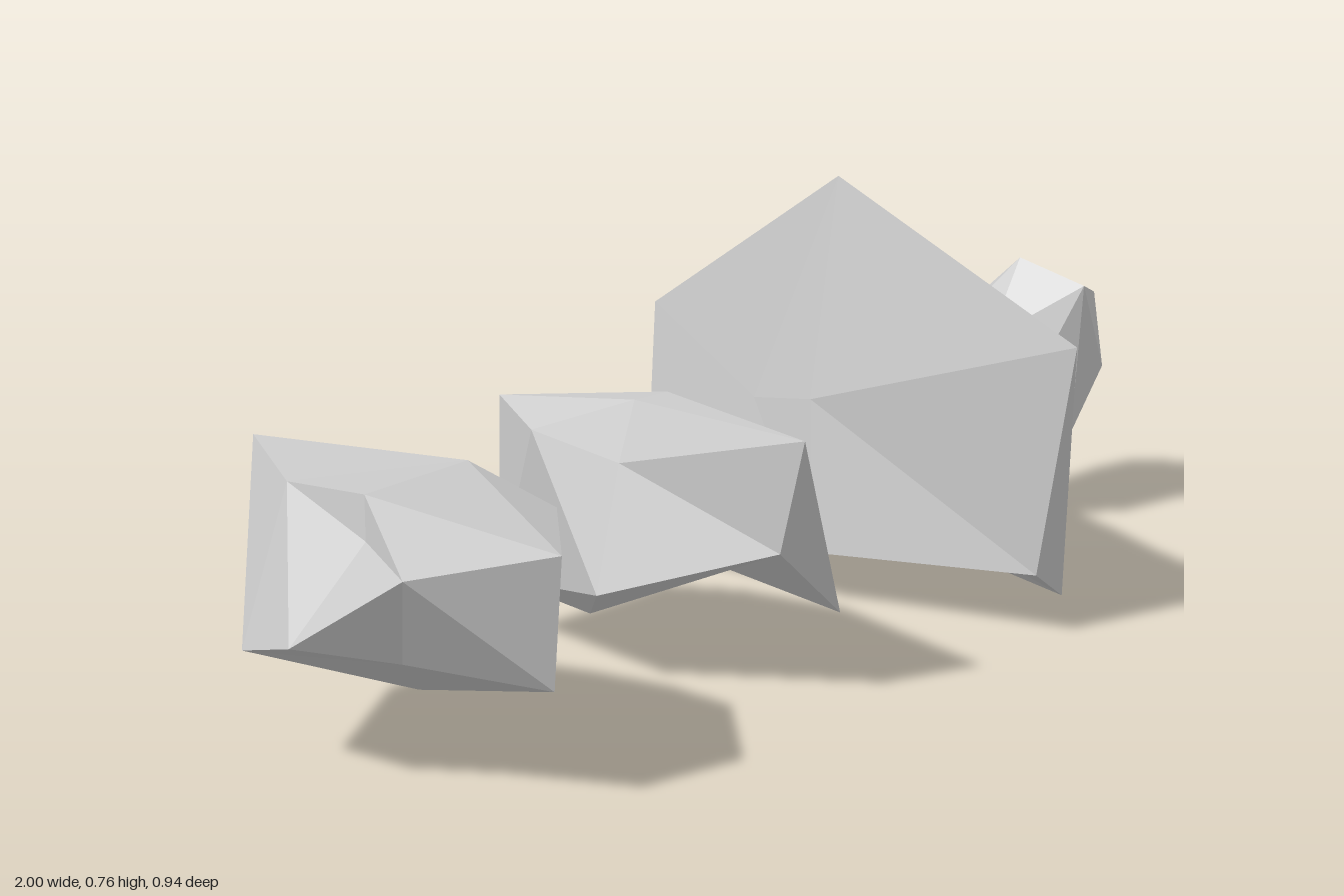
import * as THREE from 'three';
import { ConvexGeometry } from 'three/addons/geometries/ConvexGeometry.js';

// Each rock: a centre, half extents, and its corner points [x, y, z].
const ROCKS = {
  broadRock: {
    centre: [-0.8, 0.32, -0.03], size: [0.19, 0.17, 0.33],
    corners: [
      [-0.89, 0.48, -0.01], [-0.67, 0.48, -0.01], [-0.9, 0.47, -0.17], [-0.67, 0.44, -0.15], // top
      [-0.78, 0.42, 0.29], [-0.62, 0.42, 0.13], [-0.97, 0.4, 0.15], [-0.78, 0.475, -0.38],
      [-0.9, 0.41, 0.0], [-0.67, 0.38, -0.01], // hollows in the sides
      [-1.0, 0.25, -0.07], [-0.98, 0.21, -0.2], [-0.9, 0.23, 0.07],
      [-0.78, 0.2, 0.27], [-0.67, 0.2, 0.1], [-0.67, 0.21, -0.02], [-0.67, 0.21, -0.17],
      [-0.78, 0.13, -0.02], [-0.78, 0.24, -0.33], // base
    ],
  },
  splitRock: {
    centre: [-0.24, 0.3, -0.02], size: [0.13, 0.18, 0.33],
    corners: [
      [-0.26, 0.48, -0.03], [-0.19, 0.48, -0.02], [-0.3, 0.38, -0.03], // top
      [-0.26, 0.48, 0.33], [-0.26, 0.28, 0.28], [-0.09, 0.13, 0.27],
      [-0.26, 0.43, -0.34], [-0.35, 0.42, -0.18], [-0.15, 0.38, -0.2],
      [-0.14, 0.19, -0.1], [-0.13, 0.22, 0.02], [-0.37, 0.17, -0.02],
      [-0.3, 0.1, -0.1], [-0.29, 0.11, -0.32], [-0.19, 0.2, 0.08], // base
    ],
  },
  tallRock: {
    centre: [0.28, 0.3, -0.03], size: [0.1, 0.35, 0.45],
    corners: [
      [0.29, 0.76, -0.04], [0.35, 0.54, -0.04], [0.29, 0.54, 0.47], [0.29, 0.46, -0.47], // top
      [0.315, 0.475, 0.15], [0.37, 0.43, -0.27], [0.34, 0.28, -0.2], [0.41, 0.22, 0.03],
      [0.335, 0.15, -0.12], [0.385, 0.055, 0.39], [0.29, 0.12, 0.4],
      [0.215, 0.37, -0.04], [0.24, 0.34, -0.19], [0.18, 0.1, -0.01],
      [0.33, 0.125, 0.24], [0.29, 0.1, -0.04], [0.22, 0.0, -0.44], // base
    ],
  },
  smallRock: {
    centre: [0.84, 0.29, -0.01], size: [0.13, 0.21, 0.12],
    corners: [
      [0.835, 0.51, -0.03], [0.9, 0.475, -0.03], [0.83, 0.48, 0.12], [1.0, 0.42, 0.03], // top
      [0.83, 0.42, -0.125], [0.94, 0.4, -0.095], [0.77, 0.4, -0.11], [0.74, 0.37, -0.03],
      [0.93, 0.3, 0.1], [0.96, 0.25, 0.0], [0.94, 0.28, -0.09], [0.76, 0.3, 0.06],
      [0.83, 0.19, 0.1], [0.73, 0.18, 0.0],
      [0.77, 0.097, -0.115], [0.8, 0.09, -0.04], // base
    ],
  },
};

// Joins the corners as seen on a sphere around the centre, then moves them
// back to their real places, so a rock may have hollows as well as ridges.
function rockGeometry({ centre, size, corners }) {
  const c = new THREE.Vector3(...centre);
  const s = new THREE.Vector3(...size);
  const points = corners.map((p) => new THREE.Vector3(...p));
  const directions = points.map((p) => p.clone().sub(c).divide(s).normalize());
  const geometry = new ConvexGeometry(directions);
  const position = geometry.attributes.position;
  const v = new THREE.Vector3();
  for (let i = 0; i < position.count; i++) {
    v.fromBufferAttribute(position, i);
    let best = 0;
    directions.forEach((d, j) => {
      if (d.distanceToSquared(v) < directions[best].distanceToSquared(v)) best = j;
    });
    position.setXYZ(i, ...points[best].toArray());
  }
  geometry.computeVertexNormals();
  return geometry;
}

export function createModel() {
  const group = new THREE.Group();
  group.name = 'rocks';
  const stone = new THREE.MeshStandardMaterial({ color: 0xcccccc, flatShading: true });
  for (const [name, rock] of Object.entries(ROCKS)) {
    const mesh = new THREE.Mesh(rockGeometry(rock), stone);
    mesh.name = name;
    group.add(mesh);
  }
  return group;
}
